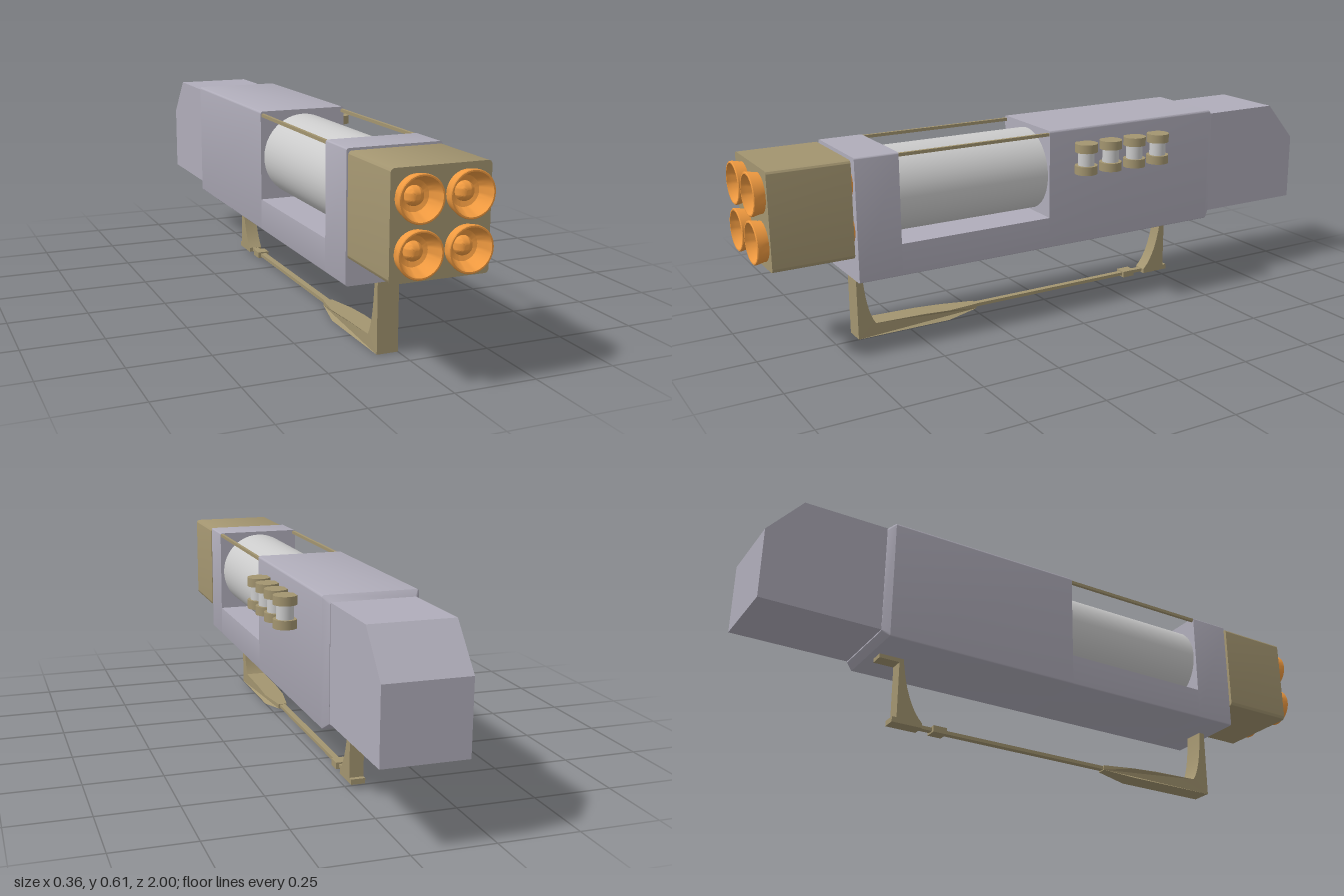
import * as THREE from 'three';
import { toCreasedNormals } from 'three/addons/utils/BufferGeometryUtils.js';

const CX = -0.035; // centre line of the weapon body
const mat = (color, extra = {}) => new THREE.MeshStandardMaterial({ color, ...extra });

export function createModel() {
  const root = new THREE.Group();
  const body = mat(0xb0adba);
  const brown = mat(0xa39570);
  const orange = mat(0xf09a40);
  const grey = mat(0xcccccc);

  const add = (name, geometry, material, x = 0, y = 0, z = 0, parent = root) => {
    const mesh = new THREE.Mesh(geometry, material);
    mesh.name = name;
    mesh.position.set(x, y, z);
    parent.add(mesh);
    return mesh;
  };

  // Cross-section in x/y with separate top and bottom corner radii
  const section = (w, y0, y1, rb, rt) => {
    const s = new THREE.Shape();
    const h = w / 2;
    s.moveTo(-h + rb, y0);
    s.lineTo(h - rb, y0);
    if (rb) s.quadraticCurveTo(h, y0, h, y0 + rb);
    s.lineTo(h, y1 - rt);
    if (rt) s.quadraticCurveTo(h, y1, h - rt, y1);
    s.lineTo(-h + rt, y1);
    if (rt) s.quadraticCurveTo(-h, y1, -h, y1 - rt);
    s.lineTo(-h, y0 + rb);
    if (rb) s.quadraticCurveTo(-h, y0, -h + rb, y0);
    return s;
  };
  const alongZ = (shape, z0, z1) => {
    const g = new THREE.ExtrudeGeometry(shape, { depth: z1 - z0, bevelEnabled: false, curveSegments: 5 });
    g.translate(0, 0, z0);
    return g;
  };
  const smooth = (g) => toCreasedNormals(g, 0.6);

  // Side profile in (z, y), extruded across x and centred
  const acrossX = (shape, width) => {
    const g = new THREE.ExtrudeGeometry(shape, { depth: width, bevelEnabled: false, curveSegments: 8 });
    g.translate(0, 0, -width / 2);
    g.rotateY(-Math.PI / 2);
    return g;
  };

  // Housing: rear block, open tray and front block
  add('rearHousing', smooth(alongZ(section(0.29, 0.228, 0.617, 0.008, 0.008), -0.6, 0.045)), body, CX);
  add('tray', smooth(alongZ(section(0.29, 0.228, 0.33, 0.008, 0), 0.045, 0.565)), body, CX);
  add('frontHousing', smooth(alongZ(section(0.29, 0.228, 0.613, 0.008, 0.008), 0.565, 0.705)), body, CX);

  // Chamfered collar at the rear of the housing
  const collar = alongZ(section(0.29, 0.228, 0.617, 0.008, 0.008), -0.622, -0.6);
  const cp = collar.attributes.position;
  for (let i = 0; i < cp.count; i++) {
    if (cp.getZ(i) < -0.61) cp.setXY(i, cp.getX(i) * 0.89, 0.4225 + (cp.getY(i) - 0.4225) * 0.91);
  }
  add('rearCollar', smooth(collar), body, CX);

  // Stock with sloped top
  const stock = new THREE.Shape([[-0.61, 0.25], [-0.61, 0.6], [-0.89, 0.6], [-1, 0.473], [-1, 0.25]]
    .map(([z, y]) => new THREE.Vector2(z, y)));
  add('stock', acrossX(stock, 0.255), body, CX);

  // Drum in the open window, with a guard rod above each side
  const drum = new THREE.CylinderGeometry(0.134, 0.134, 0.53, 48);
  drum.rotateX(Math.PI / 2);
  add('drum', drum, grey, CX, 0.468, 0.305);
  for (const s of [-1, 1]) {
    add('guardRod', new THREE.BoxGeometry(0.01, 0.01, 0.54), brown, CX + s * 0.138, 0.605, 0.305);
  }

  // Muzzle block with four bored barrels
  const centres = [];
  for (const sx of [-1, 1]) for (const sy of [-1, 1]) centres.push([sx * 0.0725, 0.4585 + sy * 0.072]);
  const muzzle = section(0.29, 0.308, 0.608, 0.014, 0.014);
  for (const [x, y] of centres) {
    const hole = new THREE.Path();
    hole.absarc(x, y, 0.0595, 0, Math.PI * 2, true);
    muzzle.holes.push(hole);
  }
  const muzzleGeo = new THREE.ExtrudeGeometry(muzzle, { depth: 0.25, bevelEnabled: false, curveSegments: 20 });
  muzzleGeo.translate(0, 0, 0.715);
  add('muzzleBlock', smooth(muzzleGeo), brown, CX);

  // Barrel: tube, flared rim, funnel and central dome
  const profile = [[0, 0.7], [0.057, 0.7], [0.057, 0.715], [0.06, 0.72], [0.06, 0.97], [0.065, 0.992],
    [0.065, 0.998], [0.063, 1], [0.059, 1], [0.056, 0.985], [0.042, 0.955], [0.027, 0.95]];
  for (let i = 1; i <= 6; i++) {
    const a = (i / 6) * Math.PI / 2;
    profile.push([i === 6 ? 0 : 0.027 * Math.cos(a), 0.95 + 0.027 * Math.sin(a)]);
  }
  const barrel = new THREE.LatheGeometry(profile.map(([r, z]) => new THREE.Vector2(r, z)), 40);
  barrel.rotateX(Math.PI / 2);
  const barrelGeo = smooth(barrel);
  for (const [x, y] of centres) add('barrel', barrelGeo, orange, CX + x, y);

  // Row of four capped cells on the left side
  for (let i = 0; i < 4; i++) {
    const cell = new THREE.Group();
    cell.name = 'sideCell';
    cell.position.set(0.142, 0.521, -0.073 - i * 0.0945);
    add('cellCore', new THREE.CylinderGeometry(0.027, 0.027, 0.06, 24), grey, 0, 0, 0, cell);
    for (const s of [-1, 1]) {
      add('cellCap', new THREE.CylinderGeometry(0.037, 0.037, 0.028, 24), brown, 0, s * 0.036, 0, cell);
    }
    root.add(cell);
  }

  // Lower carrying handle: front leg tapering into the rod
  const HX = -0.0335;
  const leg = new THREE.Shape();
  leg.moveTo(0.675, 0.003);
  leg.lineTo(0.675, 0.235);
  leg.lineTo(0.656, 0.235);
  leg.quadraticCurveTo(0.648, 0.09, 0.615, 0.046);
  leg.lineTo(0.45, 0.042);
  leg.lineTo(0.36, 0.036);
  leg.lineTo(0.25, 0.032);
  leg.lineTo(0.25, 0.016);
  leg.lineTo(0.36, 0.003);
  const legGeo = acrossX(leg, 0.067);
  const lp = legGeo.attributes.position;
  for (let i = 0; i < lp.count; i++) if (lp.getZ(i) < 0.3) lp.setX(i, lp.getX(i) * 0.45);
  add('handleFrontLeg', smooth(legGeo), brown, HX);
  add('handleRod', new THREE.BoxGeometry(0.02, 0.011, 0.7), brown, HX, 0.025, -0.095);
  add('handleRodSleeve', new THREE.BoxGeometry(0.04, 0.021, 0.045), brown, HX, 0.025, -0.362);

  // Rear leg with foot and mounting plate
  const rear = new THREE.Shape();
  rear.moveTo(-0.425, 0.016);
  rear.lineTo(-0.425, 0.031);
  rear.quadraticCurveTo(-0.482, 0.085, -0.497, 0.235);
  rear.lineTo(-0.577, 0.235);
  rear.lineTo(-0.577, 0.215);
  rear.lineTo(-0.51, 0.215);
  rear.lineTo(-0.51, 0.033);
  rear.lineTo(-0.525, 0.033);
  rear.lineTo(-0.525, 0.016);
  add('handleRearLeg', smooth(acrossX(rear, 0.045)), brown, HX);

  return root;
}
